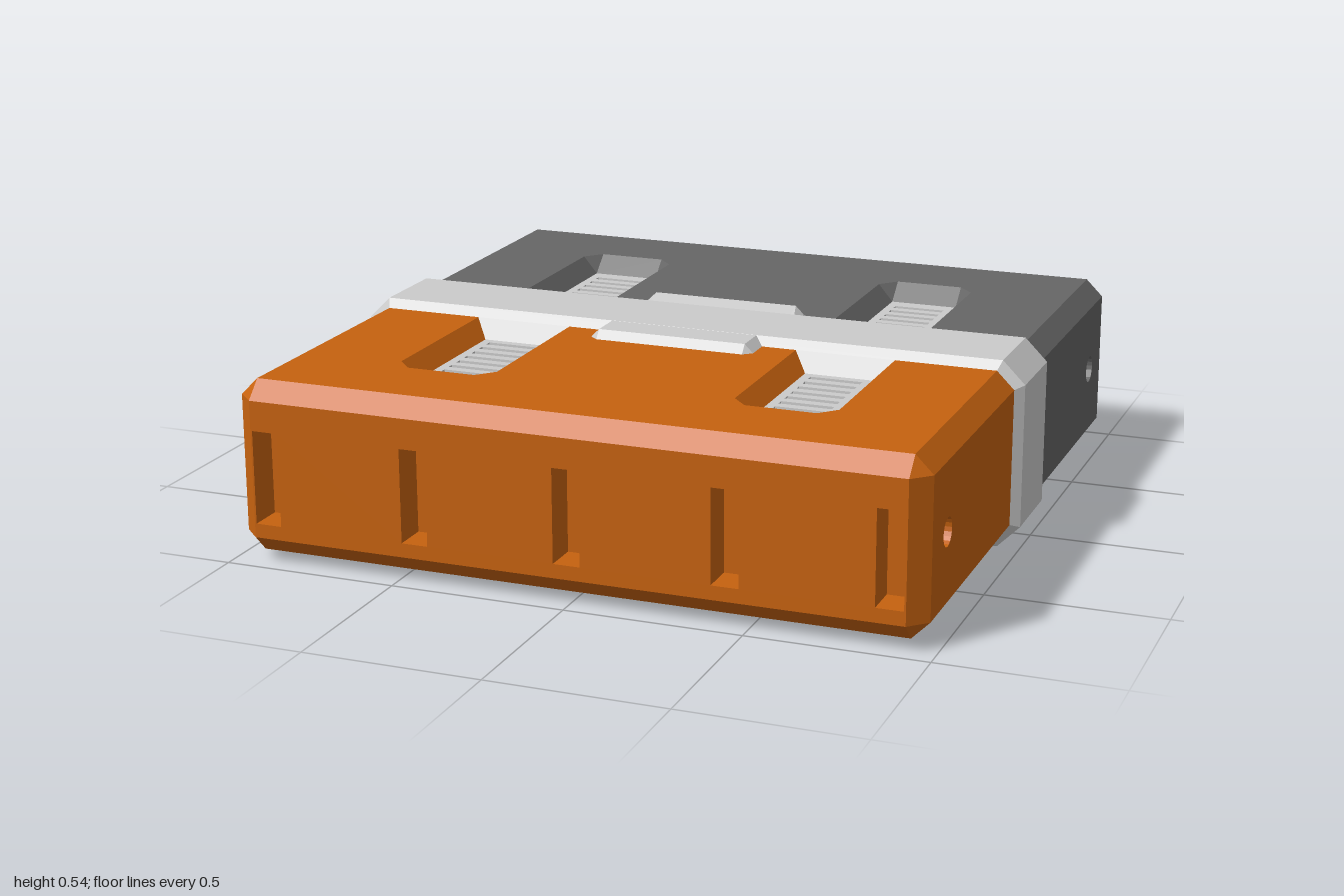
import * as THREE from 'three';
import { mergeGeometries } from 'three/addons/utils/BufferGeometryUtils.js';

const V = (x, y, z) => new THREE.Vector3(x, y, z);
const mat = (color) => new THREE.MeshStandardMaterial({ color, flatShading: true, side: THREE.DoubleSide });
const GREY = mat(0xcccccc), ORANGE = mat(0xc6620f), DARK = mat(0x666666);

// Half-case limits: outer planes, and the same planes pulled in by the chamfer
const X = 0.975, Z = 0.975, Y0 = 0.025, Y1 = 0.515, C = 0.05, Z0 = 0.145;
const xi = X - C, zi = Z - C, yl = Y0 + C, yh = Y1 - C;
const FLOOR = 0.465, RECESS_X = [-0.49, 0.49];

// Convex polygons, each turned to face away from (sign 1) or towards (sign -1) a point
function polys(list, ref, sign = 1) {
  const pos = [];
  for (const p of list) {
    const mid = p.reduce((s, q) => s.add(q), V(0, 0, 0)).divideScalar(p.length);
    const n = V(0, 0, 0);
    p.forEach((q, i) => n.add(q.clone().sub(mid).cross(p[(i + 1) % p.length].clone().sub(mid))));
    const loop = n.dot(mid.sub(ref)) * sign < 0 ? [...p].reverse() : p;
    for (let i = 1; i < loop.length - 1; i++) {
      for (const q of [loop[0], loop[i], loop[i + 1]]) pos.push(q.x, q.y, q.z);
    }
  }
  const g = new THREE.BufferGeometry();
  g.setAttribute('position', new THREE.Float32BufferAttribute(pos, 3));
  g.computeVertexNormals();
  return g;
}

// Side walls between two loops of equal length
const walls = (a, b) => a.map((p, i) => {
  const j = (i + 1) % a.length;
  return [p, a[j], b[j], b[i]];
});

function rect(x0, y0, x1, y1, Type = THREE.Shape) {
  return new Type([[x0, y0], [x1, y0], [x1, y1], [x0, y1]].map((p) => new THREE.Vector2(...p)));
}

function flat(shape) {
  const g = new THREE.ShapeGeometry(shape, 10).toNonIndexed();
  g.deleteAttribute('uv');
  return g;
}

function mesh(name, geometry, material) {
  const m = new THREE.Mesh(geometry, material);
  m.name = name;
  return m;
}

function shellGeometry() {
  const parts = [];

  // Chamfers and underside
  const edges = [[V(-xi, Y0, Z0), V(xi, Y0, Z0), V(xi, Y0, zi), V(-xi, Y0, zi)]];
  for (const [yo, yn] of [[Y0, yl], [Y1, yh]]) {
    edges.push([V(-xi, yo, zi), V(xi, yo, zi), V(xi, yn, Z), V(-xi, yn, Z)]);
    for (const s of [-1, 1]) {
      edges.push([V(s * xi, yo, Z0), V(s * xi, yo, zi), V(s * X, yn, zi), V(s * X, yn, Z0)]);
      edges.push([V(s * xi, yo, zi), V(s * X, yn, zi), V(s * xi, yn, Z)]);
    }
  }
  for (const s of [-1, 1]) edges.push([V(s * X, yl, zi), V(s * X, yh, zi), V(s * xi, yh, Z), V(s * xi, yl, Z)]);
  parts.push(polys(edges, V(0, 0.27, 0.55)));

  // Top plate, notched for the two recesses
  const top = [[-xi, Z0]];
  for (const c of RECESS_X) {
    top.push([c - 0.145, Z0], [c - 0.145, 0.64], [c - 0.1, 0.69], [c + 0.1, 0.69], [c + 0.145, 0.64], [c + 0.145, Z0]);
  }
  top.push([xi, Z0], [xi, zi], [-xi, zi]);
  parts.push(flat(new THREE.Shape(top.map(([x, z]) => new THREE.Vector2(x, -z)))).rotateX(-Math.PI / 2).translate(0, Y1, 0));

  // Sloping recess walls
  for (const c of RECESS_X) {
    const list = [[V(c - 0.1, Y1, 0.69), V(c + 0.1, Y1, 0.69), V(c + 0.1, FLOOR, 0.635), V(c - 0.1, FLOOR, 0.635)]];
    for (const s of [-1, 1]) {
      const o = c + s * 0.145, i = c + s * 0.1;
      list.push([V(o, Y1, Z0), V(o, Y1, 0.64), V(i, FLOOR, 0.635), V(i, FLOOR, 0.195)]);
      list.push([V(o, Y1, 0.64), V(i, Y1, 0.69), V(i, FLOOR, 0.635)]);
    }
    parts.push(polys(list, V(c, 0.6, 0.4), -1));
  }

  // End face with five slots
  const face = rect(-xi, yl, xi, yh);
  for (let i = -2; i <= 2; i++) {
    const x = i * 0.441, a = x - 0.038, b = x + 0.038, lo = 0.115, hi = 0.38;
    face.holes.push(rect(a, lo, b, hi, THREE.Path));
    const ring = (z) => [V(a, lo, z), V(b, lo, z), V(b, hi, z), V(a, hi, z)];
    parts.push(polys([...walls(ring(Z), ring(Z - 0.1)), ring(Z - 0.1)], V(x, 0.25, Z - 0.05), -1));
  }
  parts.push(flat(face).translate(0, 0, Z));

  // Side faces and the pin hole running between them
  for (const s of [-1, 1]) {
    const side = s > 0 ? rect(-zi, yl, -Z0, yh) : rect(Z0, yl, zi, yh);
    side.holes.push(new THREE.Path().absarc(-s * 0.785, 0.27, 0.04, 0, Math.PI * 2));
    parts.push(flat(side).rotateY(s * Math.PI / 2).translate(s * X, 0, 0));
  }
  const bore = new THREE.CylinderGeometry(0.04, 0.04, 2 * X, 20, 1, true).toNonIndexed();
  bore.deleteAttribute('uv');
  parts.push(bore.rotateZ(Math.PI / 2).translate(0, 0.27, 0.785));
  return mergeGeometries(parts.map((g) => { g.deleteAttribute('normal'); g.computeVertexNormals(); return g; }));
}

// Slatted grille at the bottom of a recess
function grilleGeometry() {
  const plate = rect(-0.1, -0.635, 0.1, -0.195);
  for (let i = 0; i < 8; i++) {
    const z = 0.231 + i * 0.0495;
    plate.holes.push(rect(-0.075, -z - 0.011, 0.075, -z + 0.011, THREE.Path));
  }
  return new THREE.ExtrudeGeometry(plate, { depth: 0.02, bevelEnabled: false })
    .rotateX(-Math.PI / 2).translate(0, FLOOR - 0.02, 0);
}

// Clip tab; inner height and depth set whether its top is level or dips to the band
function tabGeometry(innerZ, innerY) {
  const y = 0.5395;
  const base = [[-0.245, 0.12], [-0.245, 0.22], [-0.22, 0.242], [0.22, 0.242], [0.245, 0.22], [0.245, 0.12]]
    .map(([x, z]) => V(x, Y1, z));
  const l = V(-0.22, y, 0.22), r = V(0.22, y, 0.22);
  const top = [V(-0.22, innerY, innerZ), l, l, r, r, V(0.22, innerY, innerZ)];
  return polys([...walls(base, top), [top[0], l, r, top[5]], base], V(0, 0.52, 0.19));
}

function makeHalf(name, material, tab) {
  const half = new THREE.Group();
  half.name = name;
  half.add(mesh('caseShell', shellGeometry(), material));
  for (const c of RECESS_X) {
    const grille = mesh('ventGrille', grilleGeometry(), GREY);
    grille.position.x = c;
    const backing = mesh('ventBacking', new THREE.BoxGeometry(0.2, 0.01, 0.44), DARK);
    backing.position.set(c, FLOOR - 0.024, 0.415);
    const ramp = mesh('bandRamp', polys([[
      V(c - 0.145, Y1, Z0), V(c + 0.145, Y1, Z0), V(c + 0.1, FLOOR, 0.195), V(c - 0.1, FLOOR, 0.195),
    ]], V(c, 0, 0)), GREY);
    half.add(grille, backing, ramp);
  }
  half.add(mesh('clipTab', tab, GREY));
  return half;
}

export function createModel() {
  const model = new THREE.Group();
  model.name = 'bandedCase';

  // Central band: chamfered outline with bevelled rims
  const outline = [[-X, yl], [-xi, Y0], [xi, Y0], [X, yl], [X, yh], [xi, Y1], [-xi, Y1], [-X, yh]];
  const band = new THREE.ExtrudeGeometry(new THREE.Shape(outline.map((p) => new THREE.Vector2(...p))), {
    depth: 0.246, bevelEnabled: true, bevelSegments: 1, bevelSize: 0.025, bevelThickness: 0.022,
  }).translate(0, 0, -0.123);
  model.add(mesh('centreBand', band, GREY));

  // Two halves, the rear one turned around
  const front = makeHalf('frontHalf', ORANGE, tabGeometry(0.12, 0.5395));
  const rear = makeHalf('rearHalf', DARK, tabGeometry(0.145, 0.517));
  rear.rotation.y = Math.PI;
  model.add(front, rear);
  return model;
}
